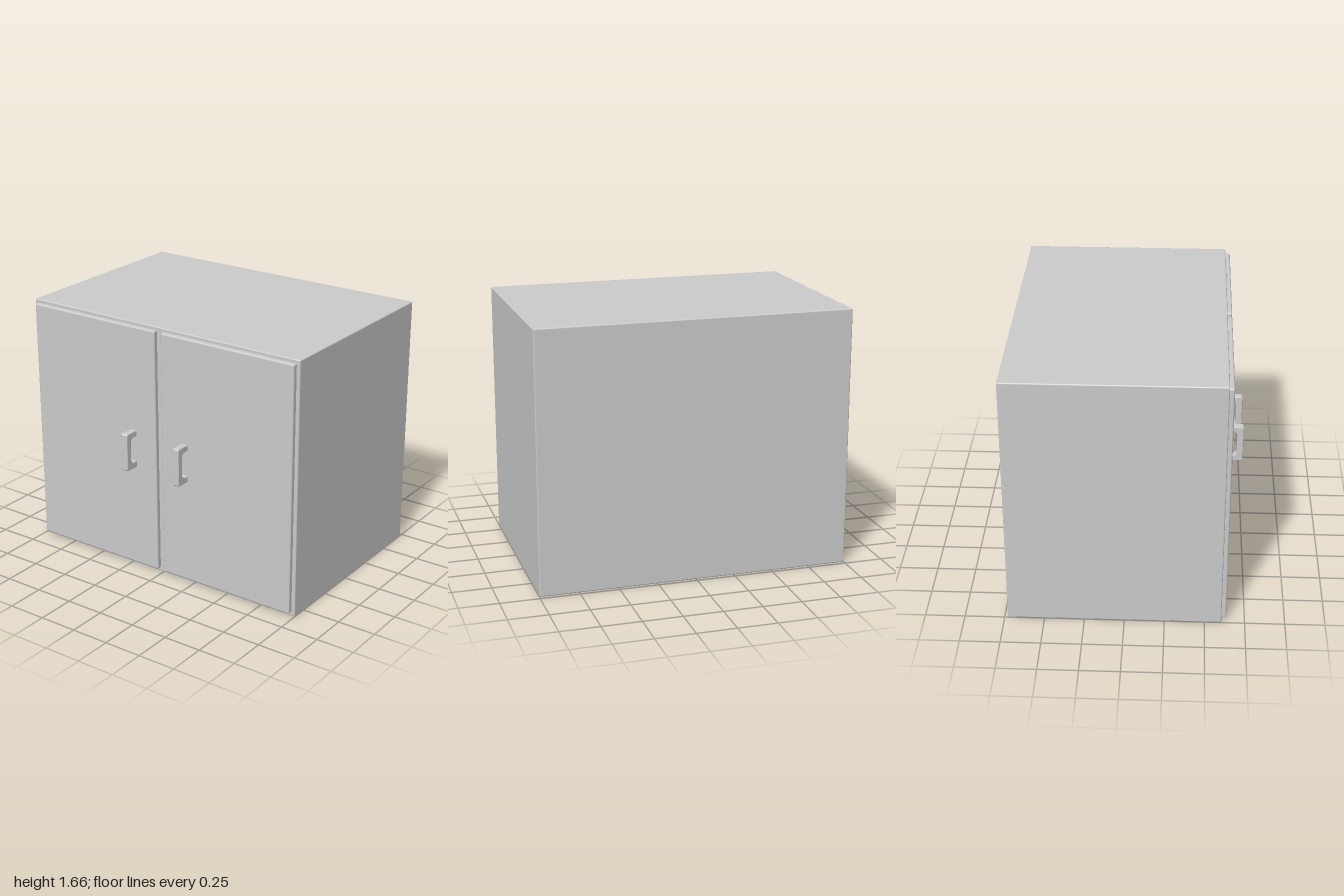
import * as THREE from 'three';
import { RoundedBoxGeometry } from 'three/addons/geometries/RoundedBoxGeometry.js';

const material = new THREE.MeshStandardMaterial({ color: 0xcccccc });

// Softly bevelled box given by its lower and upper corners
function bevelledBox(name, min, max, bevel) {
  const size = max.map((v, i) => v - min[i]);
  const mesh = new THREE.Mesh(new RoundedBoxGeometry(...size, 2, bevel), material);
  mesh.position.set(...max.map((v, i) => (v + min[i]) / 2));
  mesh.name = name;
  return mesh;
}

// C-shaped pull: profile drawn in (z, y), extruded across x
function handleGeometry() {
  const back = 0.625, front = 0.73, grip = 0.688;
  const bottom = 0.71, top = 0.96, holeBottom = 0.752, holeTop = 0.92;
  const outer = 0.008, inner = 0.016, bevel = 0.006, width = 0.045;
  const outline = [
    [back, bottom], [front - outer, bottom], [front, bottom + outer],
    [front, top - outer], [front - outer, top], [back, top],
    [back, holeTop], [grip - inner, holeTop], [grip, holeTop - inner],
    [grip, holeBottom + inner], [grip - inner, holeBottom], [back, holeBottom],
  ];
  const shape = new THREE.Shape(outline.map(([z, y]) => new THREE.Vector2(z, y)));
  const geometry = new THREE.ExtrudeGeometry(shape, {
    depth: width - 2 * bevel,
    bevelEnabled: true,
    bevelThickness: bevel,
    bevelSize: bevel,
    bevelOffset: -bevel,
    bevelSegments: 2,
  });
  geometry.translate(0, 0, -(width / 2 - bevel));
  geometry.rotateY(-Math.PI / 2);
  return geometry;
}

export function createModel() {
  const model = new THREE.Group();
  model.name = 'cabinet';

  // Main carcass
  model.add(bevelledBox('body', [-1, 0, -0.73], [1, 1.665, 0.605], 0.008));

  // Matching doors, each with a pull near the centre gap
  const pull = handleGeometry();
  for (const [side, sign] of [['left', 1], ['right', -1]]) {
    const x = [0.023 * sign, 0.977 * sign].sort((a, b) => a - b);
    model.add(bevelledBox(side + 'Door', [x[0], 0.024, 0.595], [x[1], 1.643, 0.635], 0.01));

    const handle = new THREE.Mesh(pull, material);
    handle.name = side + 'Handle';
    handle.position.x = 0.199 * sign;
    model.add(handle);
  }
  return model;
}
